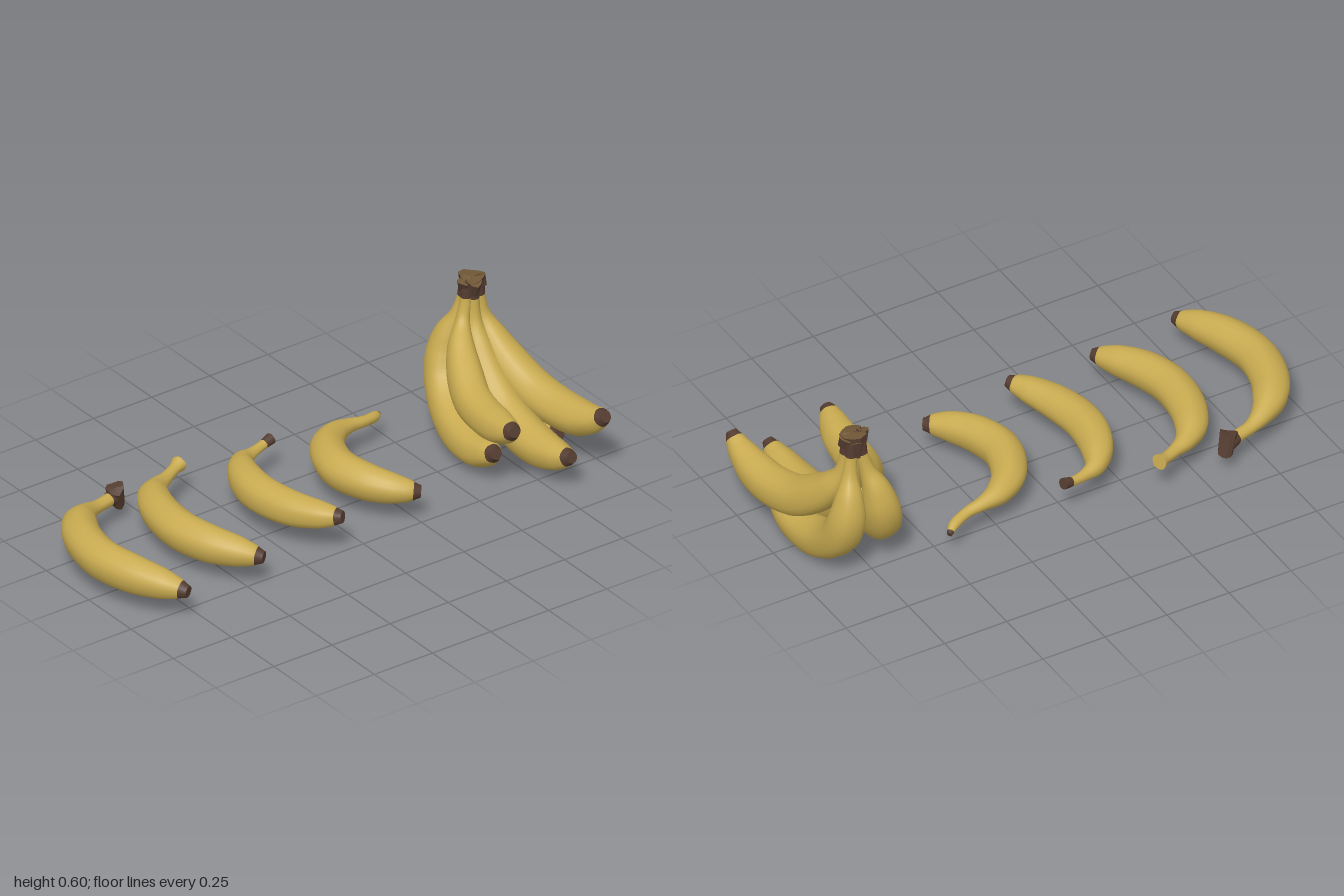
import * as THREE from 'three';

const peel = new THREE.MeshStandardMaterial({ color: 0xc8aa50 });
peel.name = 'yellow peel';
const bark = new THREE.MeshStandardMaterial({ color: 0x543c30 });
bark.name = 'dark brown stem';
const cut = new THREE.MeshStandardMaterial({ color: 0x6f5636 });
cut.name = 'cut stem brown';

const SEGMENTS = 64, SIDES = 20;

// Sweeps a softly five-sided section along points [x, y, z, radius], stem first.
// stem and tip are the fractions of the length that are brown at each end.
function banana(name, points, stem, tip) {
  const curve = new THREE.CatmullRomCurve3(points.map(p => new THREE.Vector3(p[0], p[1], p[2])), false, 'centripetal');
  const radius = new THREE.SplineCurve(points.map((p, i) => new THREE.Vector2(i, p[3])));
  const frames = curve.computeFrenetFrames(SEGMENTS, false);
  const pos = [], index = [], us = [];

  const ring = (i, scale) => {
    const u = i / SEGMENTS, c = curve.getPointAt(u);
    const r = radius.getPoint(curve.getUtoTmapping(u)).y * scale;
    for (let j = 0; j < SIDES; j++) {
      const a = j / SIDES * Math.PI * 2, k = r * (1 + 0.025 * Math.cos(5 * a));
      const v = c.clone()
        .addScaledVector(frames.normals[i], -Math.cos(a) * k)
        .addScaledVector(frames.binormals[i], Math.sin(a) * k);
      pos.push(v.x, v.y, v.z);
    }
    us.push(u);
  };
  // doubled end rings keep the blunt ends crisp
  ring(0, 0); ring(0, 1);
  for (let i = 0; i <= SEGMENTS; i++) ring(i, 1);
  ring(SEGMENTS, 1); ring(SEGMENTS, 0);

  const geo = new THREE.BufferGeometry();
  for (let i = 0; i < us.length - 1; i++) {
    const mid = (us[i] + us[i + 1]) / 2;
    geo.addGroup(index.length, SIDES * 6, mid < stem || mid > 1 - tip ? 1 : 0);
    for (let j = 0; j < SIDES; j++) {
      const k = (j + 1) % SIDES;
      const a = i * SIDES + j, b = a + SIDES, c = (i + 1) * SIDES + k, d = i * SIDES + k;
      index.push(a, b, d, b, c, d);
    }
  }
  geo.setAttribute('position', new THREE.Float32BufferAttribute(pos, 3));
  geo.setIndex(index);
  geo.computeVertexNormals();
  const mesh = new THREE.Mesh(geo, [peel, bark]);
  mesh.name = name;
  return mesh;
}

// Faceted, ragged stump of dried stem
function stump(name, rTop, rBottom, height, [x, y, z], [rx, ry, rz], mats = [bark, cut, bark]) {
  const geo = new THREE.CylinderGeometry(rTop, rBottom, height, 10, 2);
  const p = geo.attributes.position;
  for (let i = 0; i < p.count; i++) {
    const a = Math.atan2(p.getZ(i), p.getX(i));
    const k = 1 + 0.12 * Math.sin(3 * a + 1) + 0.08 * Math.cos(5 * a);
    p.setXYZ(i, p.getX(i) * k, p.getY(i) + 0.07 * height * Math.sin(2 * a), p.getZ(i) * k);
  }
  const flat = geo.toNonIndexed();
  flat.computeVertexNormals();
  const mesh = new THREE.Mesh(flat, mats);
  mesh.name = name;
  mesh.position.set(x, y, z);
  mesh.rotation.set(rx, ry, rz);
  return mesh;
}

export function createModel() {
  const model = new THREE.Group();
  model.name = 'bananas';

  // Four loose bananas lying on their sides
  const loose = new THREE.Group();
  loose.name = 'looseBananas';
  loose.add(
    banana('looseBanana1', [
      [-0.61, 0.11, -0.38, 0.03], [-0.66, 0.112, -0.362, 0.024], [-0.72, 0.115, -0.345, 0.025],
      [-0.78, 0.125, -0.318, 0.038], [-0.845, 0.135, -0.265, 0.06], [-0.9, 0.138, -0.175, 0.069],
      [-0.93, 0.138, -0.02, 0.071], [-0.9, 0.135, 0.13, 0.068], [-0.855, 0.13, 0.235, 0.055],
      [-0.825, 0.125, 0.29, 0.038], [-0.808, 0.122, 0.325, 0.022]], 0.05, 0.025),
    banana('looseBanana2', [
      [-0.33, 0.14, -0.385, 0.029], [-0.36, 0.135, -0.372, 0.021], [-0.42, 0.13, -0.343, 0.024],
      [-0.475, 0.13, -0.315, 0.037], [-0.53, 0.133, -0.262, 0.057], [-0.573, 0.135, -0.165, 0.067],
      [-0.59, 0.135, -0.02, 0.07], [-0.56, 0.132, 0.11, 0.067], [-0.51, 0.128, 0.205, 0.055],
      [-0.475, 0.124, 0.258, 0.038], [-0.455, 0.122, 0.287, 0.022]], 0, 0.025),
    banana('looseBanana3', [
      [0.025, 0.145, -0.33, 0.021], [-0.02, 0.135, -0.322, 0.017], [-0.08, 0.13, -0.305, 0.022],
      [-0.13, 0.132, -0.283, 0.036], [-0.175, 0.135, -0.225, 0.054], [-0.208, 0.136, -0.14, 0.065],
      [-0.219, 0.137, -0.04, 0.067], [-0.195, 0.138, 0.09, 0.063], [-0.148, 0.145, 0.195, 0.05],
      [-0.12, 0.15, 0.24, 0.036], [-0.102, 0.153, 0.268, 0.022]], 0.04, 0.025),
    banana('looseBanana4', [
      [0.478, 0.092, -0.32, 0.01], [0.445, 0.105, -0.295, 0.019], [0.38, 0.118, -0.272, 0.02],
      [0.31, 0.128, -0.265, 0.027], [0.235, 0.132, -0.243, 0.045], [0.155, 0.134, -0.175, 0.062],
      [0.105, 0.135, -0.04, 0.07], [0.13, 0.133, 0.085, 0.066], [0.18, 0.128, 0.17, 0.055],
      [0.225, 0.124, 0.217, 0.039], [0.255, 0.121, 0.24, 0.022]], 0.02, 0.025),
    stump('looseStemEnd1', 0.032, 0.026, 0.085, [-0.605, 0.11, -0.377], [0.1, 0.4, 0.35], [bark, bark, bark]));
  model.add(loose);

  // Hanging bunch, all joined at the crown
  const bunch = new THREE.Group();
  bunch.name = 'bananaBunch';
  bunch.add(
    banana('bunchUpperRight', [
      [0.775, 0.565, -0.205, 0.022], [0.77, 0.5, -0.205, 0.022], [0.75, 0.43, -0.195, 0.027],
      [0.715, 0.365, -0.155, 0.048], [0.68, 0.3, -0.085, 0.064], [0.645, 0.25, 0.01, 0.068],
      [0.628, 0.235, 0.11, 0.067], [0.617, 0.241, 0.2, 0.062], [0.607, 0.258, 0.265, 0.048],
      [0.601, 0.272, 0.3, 0.034], [0.599, 0.28, 0.322, 0.021]], 0.06, 0.025),
    banana('bunchUpperLeft', [
      [0.825, 0.565, -0.205, 0.022], [0.83, 0.5, -0.205, 0.022], [0.838, 0.43, -0.197, 0.028],
      [0.852, 0.36, -0.165, 0.05], [0.87, 0.285, -0.1, 0.067], [0.898, 0.21, 0.01, 0.074],
      [0.92, 0.183, 0.13, 0.073], [0.932, 0.188, 0.235, 0.067], [0.939, 0.215, 0.32, 0.05],
      [0.942, 0.24, 0.362, 0.035], [0.942, 0.256, 0.388, 0.021]], 0.06, 0.025),
    banana('bunchMiddle', [
      [0.8, 0.565, -0.2, 0.024], [0.798, 0.5, -0.2, 0.024], [0.795, 0.42, -0.19, 0.03],
      [0.792, 0.335, -0.155, 0.05], [0.79, 0.23, -0.085, 0.068], [0.789, 0.15, 0.01, 0.075],
      [0.788, 0.112, 0.12, 0.076], [0.787, 0.106, 0.225, 0.069], [0.787, 0.121, 0.32, 0.053],
      [0.787, 0.137, 0.368, 0.036], [0.788, 0.15, 0.4, 0.021]], 0.06, 0.025),
    banana('bunchBackLeft', [
      [0.82, 0.565, -0.23, 0.021], [0.825, 0.5, -0.233, 0.021], [0.835, 0.43, -0.243, 0.029],
      [0.85, 0.36, -0.265, 0.05], [0.86, 0.28, -0.268, 0.066], [0.865, 0.195, -0.235, 0.071],
      [0.87, 0.12, -0.155, 0.072], [0.875, 0.076, -0.045, 0.072], [0.88, 0.074, 0.075, 0.064],
      [0.883, 0.095, 0.15, 0.045], [0.885, 0.115, 0.195, 0.021]], 0.06, 0.025),
    banana('bunchBackRight', [
      [0.785, 0.565, -0.23, 0.021], [0.778, 0.5, -0.233, 0.021], [0.762, 0.43, -0.243, 0.029],
      [0.74, 0.36, -0.262, 0.05], [0.722, 0.28, -0.265, 0.066], [0.7, 0.2, -0.235, 0.071],
      [0.668, 0.132, -0.155, 0.073], [0.638, 0.094, -0.045, 0.073], [0.618, 0.092, 0.075, 0.066],
      [0.606, 0.12, 0.165, 0.045], [0.6, 0.14, 0.212, 0.021]], 0.06, 0.025));

  // Ragged brown crown where the stems were cut
  bunch.add(
    stump('crownCore', 0.046, 0.038, 0.055, [0.8, 0.562, -0.212], [0.1, 0, 0]),
    stump('crownFrontLobe', 0.03, 0.024, 0.05, [0.79, 0.562, -0.187], [0.25, 0.5, 0]),
    stump('crownRightLobe', 0.024, 0.02, 0.045, [0.768, 0.566, -0.208], [0, 0.9, 0.35]),
    stump('crownLeftLobe', 0.024, 0.02, 0.045, [0.832, 0.563, -0.21], [0, 1.7, -0.35]),
    stump('crownBackLobe', 0.026, 0.022, 0.07, [0.805, 0.537, -0.23], [-0.08, 2.2, 0]));
  model.add(bunch);
  return model;
}
